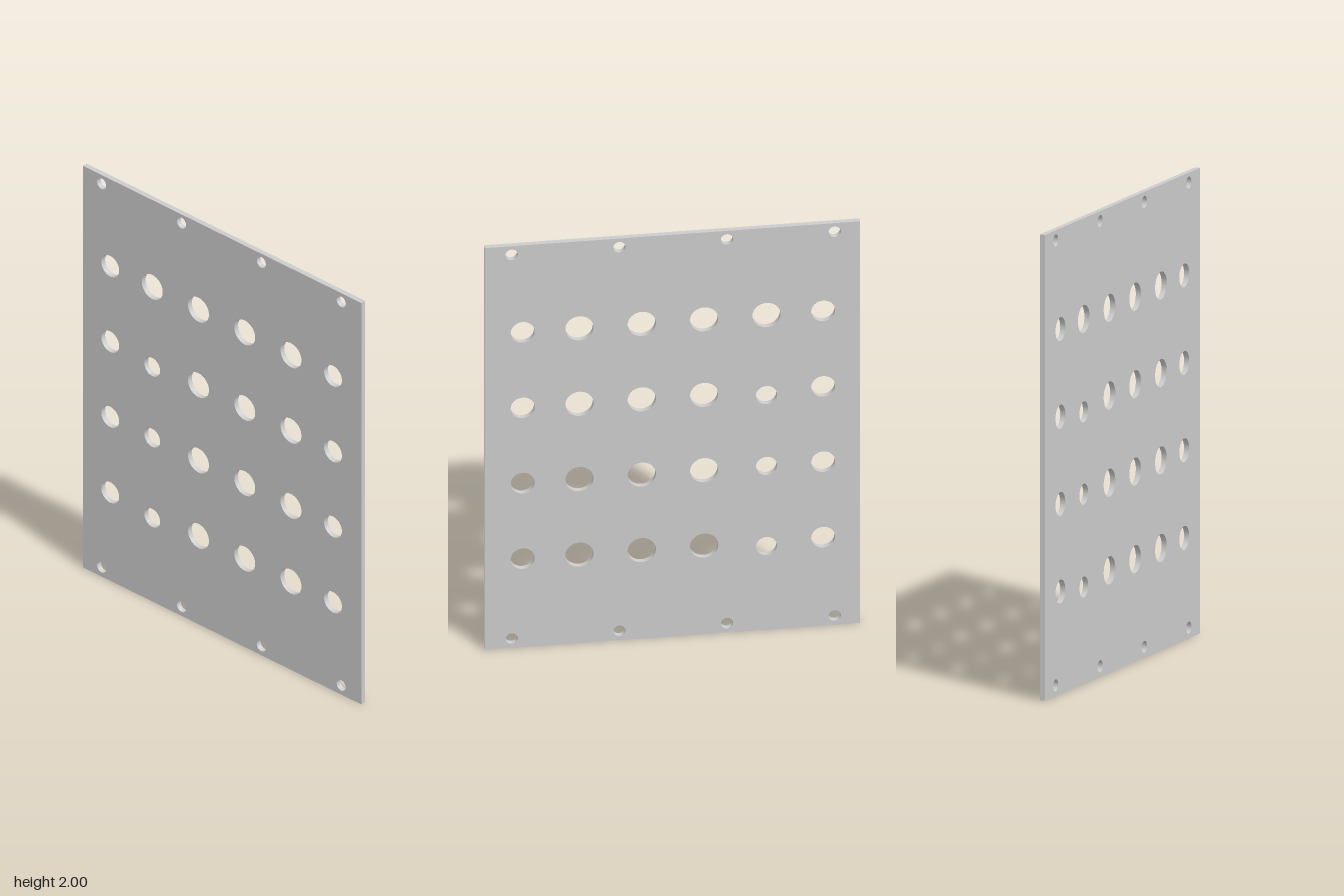
import * as THREE from 'three';

const WIDTH = 1.596, HEIGHT = 2, THICKNESS = 0.024;

export function createModel() {
  const group = new THREE.Group();
  group.name = 'perforatedPanel';

  // Rectangular outline
  const w = WIDTH / 2;
  const outline = new THREE.Shape([
    new THREE.Vector2(-w, 0), new THREE.Vector2(w, 0),
    new THREE.Vector2(w, HEIGHT), new THREE.Vector2(-w, HEIGHT),
  ]);
  const drill = (x, y, r) =>
    outline.holes.push(new THREE.Path().absarc(x, y, r, 0, Math.PI * 2, true));

  // Mounting holes along the top and bottom edges
  for (const y of [0.046, 1.957])
    for (const x of [-0.69, -0.232, 0.225, 0.683]) drill(x, y, 0.026);

  // Main grid: small outer columns, larger inner columns
  for (const y of [0.44, 0.816, 1.191, 1.567]) {
    for (const x of [-0.641, 0.636]) drill(x, y, 0.051);
    for (const x of [-0.135, 0.13, 0.395]) drill(x, y, 0.06);
  }

  // Second column: one large hole above three smaller, offset ones
  drill(-0.4, 1.567, 0.06);
  for (const y of [0.416, 0.815, 1.168]) drill(-0.4, y, 0.045);

  const geometry = new THREE.ExtrudeGeometry(outline, {
    depth: THICKNESS, bevelEnabled: false, curveSegments: 40,
  });
  geometry.translate(0, 0, -THICKNESS / 2);

  const plate = new THREE.Mesh(geometry, new THREE.MeshStandardMaterial({ color: 0xcccccc }));
  plate.name = 'drilledPlate';
  group.add(plate);
  return group;
}
